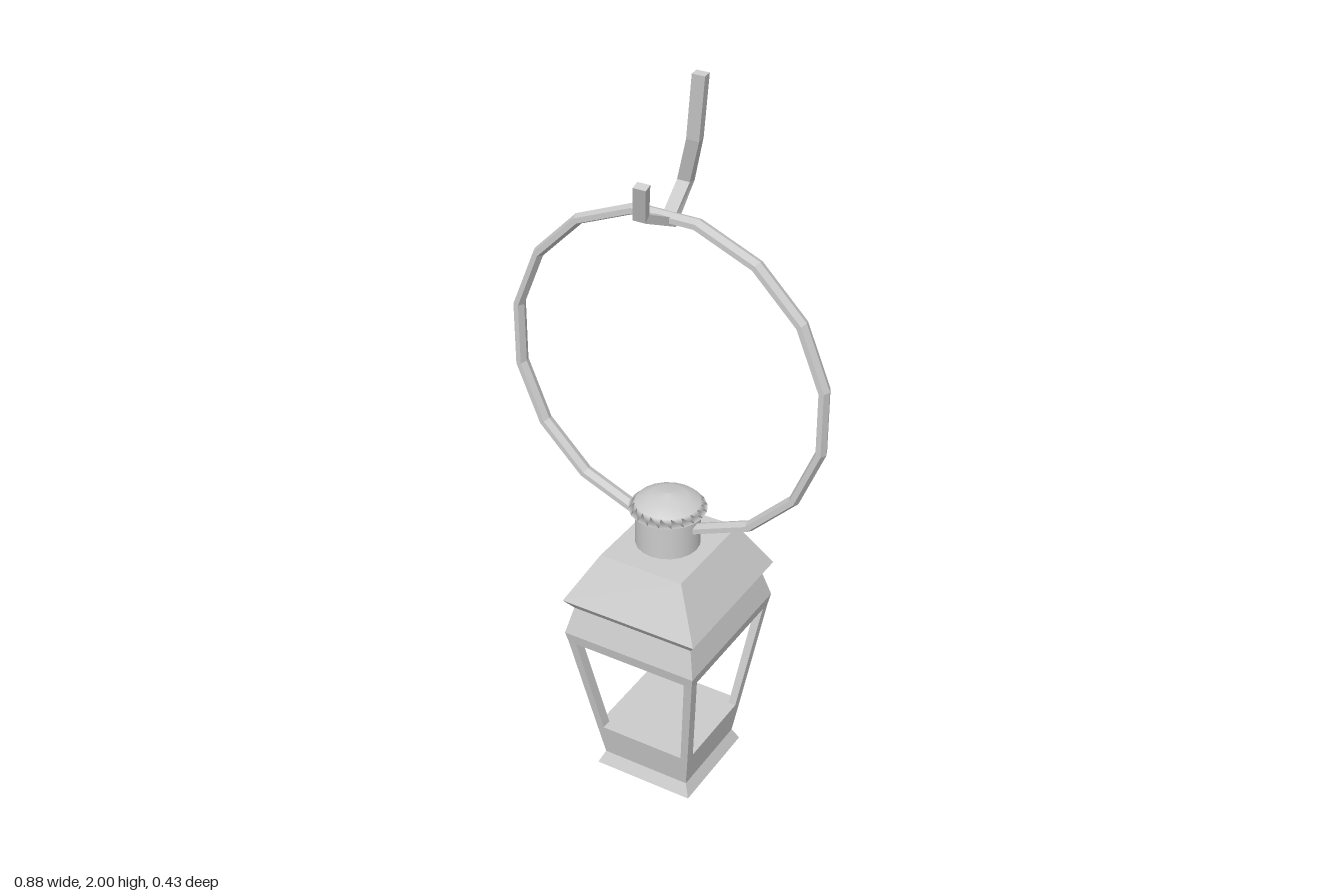
import * as THREE from 'three';

const material = new THREE.MeshStandardMaterial({ color: 0xcccccc, flatShading: true });
const smooth = new THREE.MeshStandardMaterial({ color: 0xcccccc, side: THREE.DoubleSide });

// Closed solid through a series of four-cornered rings
function loft(rings) {
  const pos = [];
  const quad = (a, b, c, d) => [a, b, c, a, c, d].forEach((p) => pos.push(p.x, p.y, p.z));
  for (let i = 0; i < rings.length - 1; i++) {
    for (let j = 0; j < 4; j++) {
      const k = (j + 1) % 4;
      quad(rings[i][j], rings[i][k], rings[i + 1][k], rings[i + 1][j]);
    }
  }
  const [a, b, c, d] = rings[0];
  quad(d, c, b, a);
  quad(...rings[rings.length - 1]);
  const geometry = new THREE.BufferGeometry();
  geometry.setAttribute('position', new THREE.Float32BufferAttribute(pos, 3));
  geometry.computeVertexNormals();
  return geometry;
}

// Level rectangle between two x and two z limits
const rect = (y, x0, x1, z0, z1) => [[x1, z1], [x1, z0], [x0, z0], [x0, z1]]
  .map(([x, z]) => new THREE.Vector3(x, y, z));

// Stack of centred rectangles given as [height, half width, half depth]
const stack = (sections) => loft(sections.map(([y, w, d]) => rect(y, -w, w, -d, d)));

// Flat bar swept along a path, its broad side kept along x
function bar(points, width, thickness) {
  const path = points.map((p) => new THREE.Vector3(...p));
  const side = new THREE.Vector3(1, 0, 0);
  const dirs = path.slice(1).map((p, i) => p.clone().sub(path[i]).setX(0).normalize());
  return loft(path.map((p, i) => {
    const before = dirs[Math.max(i - 1, 0)];
    const after = dirs[Math.min(i, dirs.length - 1)];
    const t = before.clone().add(after).normalize();
    const v = t.clone().cross(side).multiplyScalar(thickness / 2 / t.dot(after));
    return [[1, -1], [1, 1], [-1, 1], [-1, -1]].map(([a, b]) =>
      p.clone().addScaledVector(side, a * width / 2).addScaledVector(v, b));
  }));
}

export function createModel() {
  const model = new THREE.Group();
  const add = (parent, name, geometry, mat = material) => {
    const mesh = new THREE.Mesh(geometry, mat);
    mesh.name = name;
    parent.add(mesh);
    return mesh;
  };

  const lantern = new THREE.Group();
  lantern.name = 'lantern';
  lantern.position.set(0.009, 0, -0.003);
  model.add(lantern);

  // Solid foot and roof
  add(lantern, 'base', stack([[0, 0.143, 0.143], [0.035, 0.127, 0.127], [0.137, 0.142, 0.146]]));
  add(lantern, 'roof', stack([
    [0.448, 0.186, 0.204], [0.48, 0.192, 0.211], [0.555, 0.174, 0.19],
    [0.585, 0.194, 0.213], [0.715, 0.119, 0.145],
  ]));

  // Leaning corner posts around the four openings
  for (const sx of [-1, 1]) {
    for (const sz of [-1, 1]) {
      const ring = (y, xi, xo, zi, zo) => rect(y,
        Math.min(sx * xi, sx * xo), Math.max(sx * xi, sx * xo),
        Math.min(sz * zi, sz * zo), Math.max(sz * zi, sz * zo));
      add(lantern, 'cornerPost', loft([
        ring(0.137, 0.121, 0.142, 0.117, 0.146),
        ring(0.448, 0.163, 0.186, 0.177, 0.204),
      ]));
    }
  }

  // Chimney with a shallow domed cap
  const chimney = add(lantern, 'chimney', new THREE.CylinderGeometry(0.085, 0.085, 0.12, 20), smooth);
  chimney.position.set(-0.005, 0.77, 0);
  const profile = [[0, 0.82], [0.102, 0.82], [0.085, 0.838], [0.05, 0.855], [0, 0.862]]
    .map(([r, y]) => new THREE.Vector2(r, y));
  const cap = add(lantern, 'chimneyCap', new THREE.LatheGeometry(profile, 20), smooth);
  cap.position.x = -0.005;

  // Sixteen-sided carrying ring passing through the chimney
  const ring = add(model, 'carryingRing', new THREE.TorusGeometry(0.436, 0.014, 6, 16));
  ring.rotation.z = Math.PI / 16;
  ring.scale.z = 1.45;
  ring.position.set(-0.002, 1.207, -0.003);

  // Bent hook holding the ring
  add(model, 'hook', bar([
    [0.08, 1.997, -0.015], [0.055, 1.83, -0.035], [0.013, 1.705, -0.068],
    [0.001, 1.62, -0.012], [-0.004, 1.675, 0.104], [0.02, 1.772, 0.14],
  ], 0.034, 0.021));

  return model;
}
